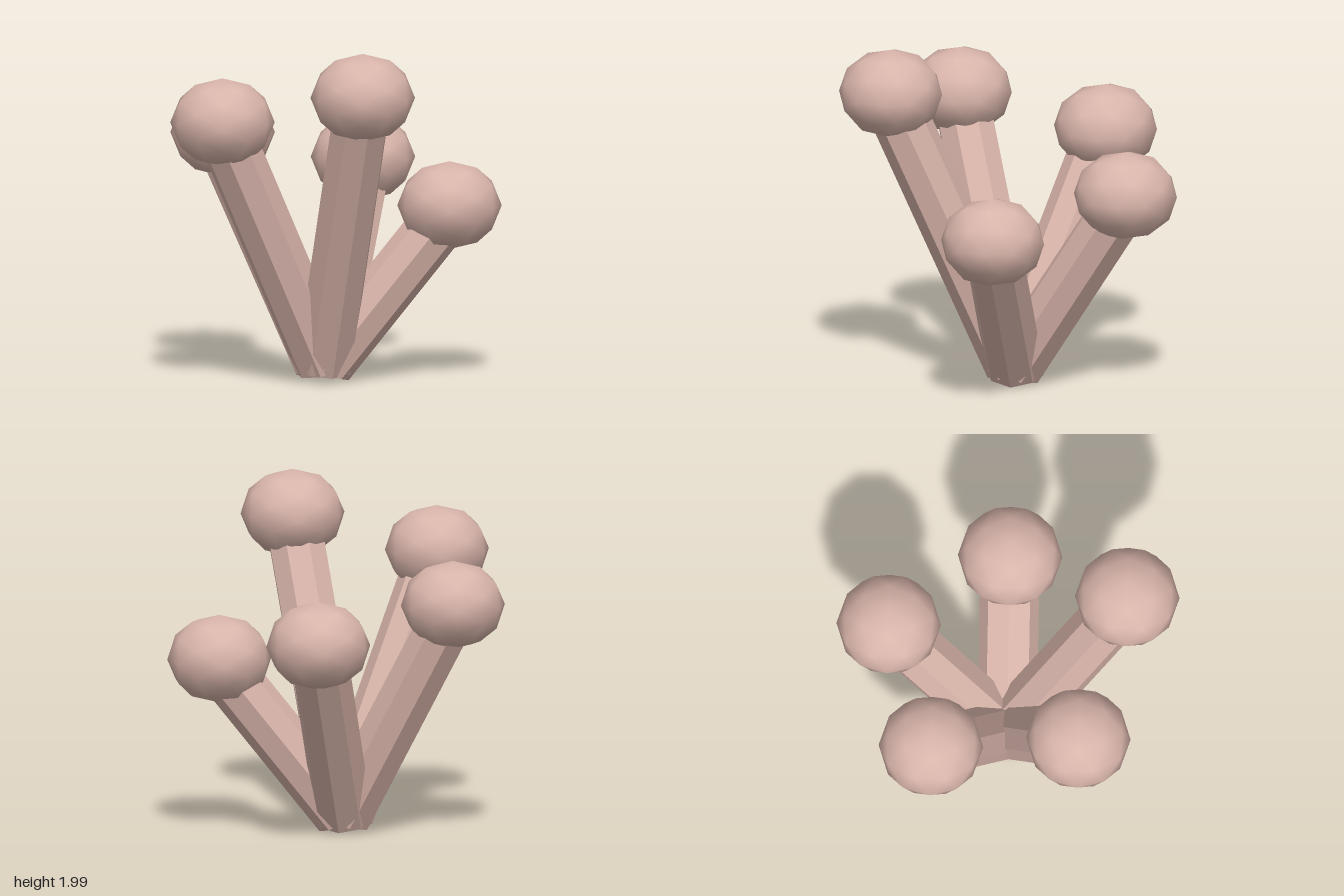
import * as THREE from 'three';

export function createModel() {
  const model = new THREE.Group();
  model.name = 'stalkCluster';

  const pink = new THREE.MeshStandardMaterial({ color: 0xd9b5ab });
  const pinkFlat = pink.clone();
  pinkFlat.flatShading = true;

  const squash = 0.85; // everything is flattened a little in height
  const reach = 0.72; // horizontal distance from the root to each bulb
  const bulbGeometry = new THREE.IcosahedronGeometry(0.3, 1);

  // All stalks share one root, slightly off centre
  const cluster = new THREE.Group();
  cluster.name = 'cluster';
  cluster.position.set(-0.07, 0.085, 0);
  cluster.scale.y = squash;
  model.add(cluster);

  // Five stalks around the root, each one taller than the last
  for (let i = 0; i < 5; i++) {
    const angle = (i * Math.PI * 2) / 5;
    const height = (0.935 + i * 0.181) / squash;

    const arm = new THREE.Group();
    arm.name = `arm${i + 1}`;
    arm.rotation.y = angle;
    cluster.add(arm);

    // Octagonal stalk leaning outward
    const tip = new THREE.Vector2(reach, height - 0.03);
    const length = tip.length();
    const stalkGeometry = new THREE.CylinderGeometry(0.17, 0.17, length, 8);
    stalkGeometry.translate(0, length / 2, 0);
    stalkGeometry.rotateY(Math.PI / 2);
    const stalk = new THREE.Mesh(stalkGeometry, pinkFlat);
    stalk.name = 'stalk';
    stalk.rotation.z = -Math.atan2(tip.x, tip.y);
    arm.add(stalk);

    // Faceted bulb at the tip, kept in line with the axes
    const bulb = new THREE.Mesh(bulbGeometry, pink);
    bulb.name = 'bulb';
    bulb.position.set(reach, height, 0);
    bulb.rotation.y = -angle;
    arm.add(bulb);
  }
  return model;
}
